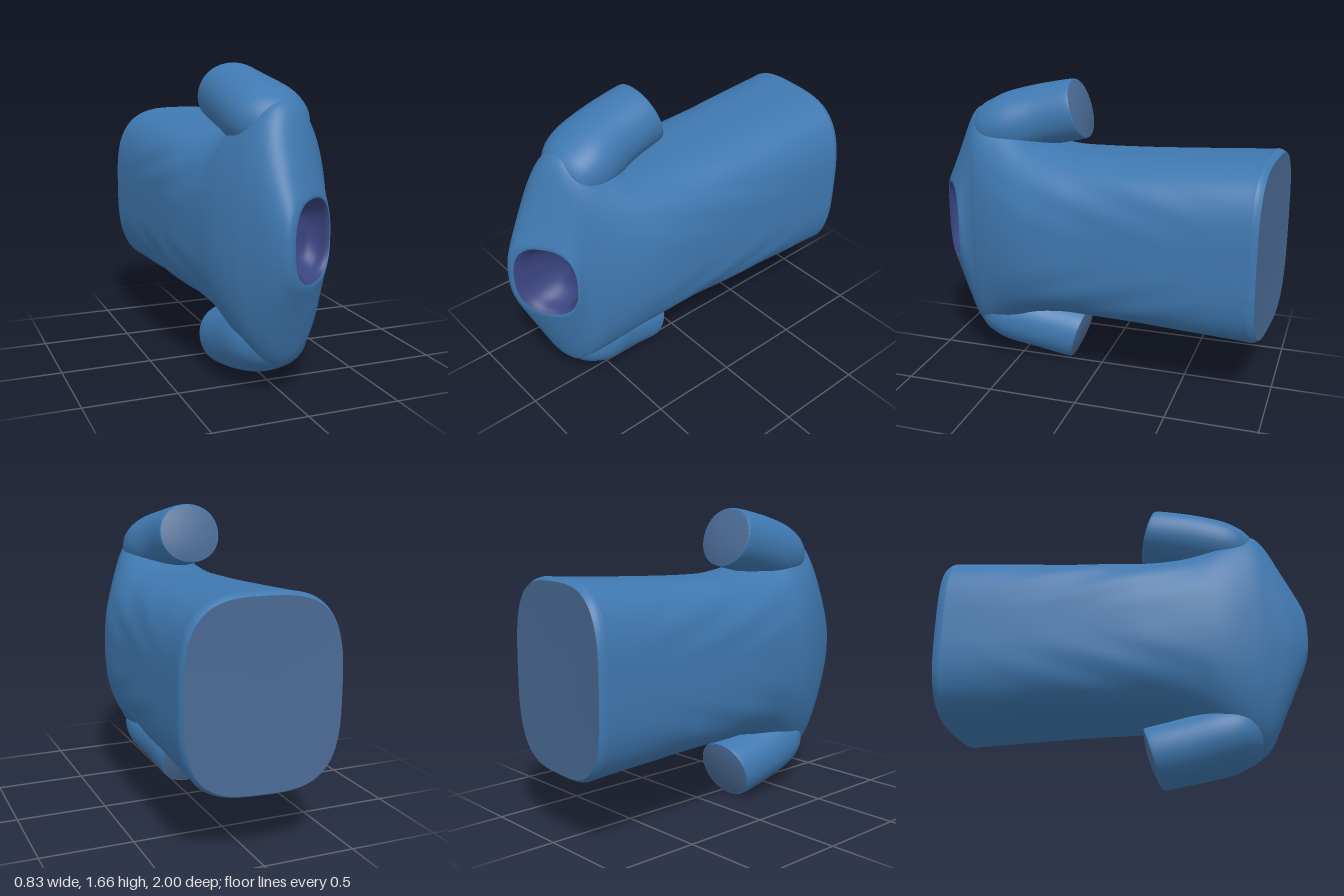
import * as THREE from 'three';

const MID = 0.835; // height of the shirt's long axis
const SEG = 96;
const cloth = new THREE.MeshStandardMaterial({ color: 0x3f78b0 });
const lining = new THREE.MeshStandardMaterial({ color: 0x3a4580 });
const capCloth = new THREE.MeshStandardMaterial({ color: 0x4a6a94 });

// Blend between neighbouring sections with a Catmull-Rom spline
function sample(rings, t) {
  const i = Math.min(Math.floor(t), rings.length - 2), f = t - i;
  const at = k => rings[Math.max(0, Math.min(rings.length - 1, k))];
  return rings[i].map((b, k) => {
    const a = at(i - 1)[k], c = at(i + 1)[k], d = at(i + 2)[k];
    return b + 0.5 * f * (c - a + f * (2 * a - 5 * b + 4 * c - d + f * (3 * (b - c) + d - a)));
  });
}

// Skin rounded sections: [cx, cy, z, halfX, halfY, squareness, z-slope in x, z-slope in y]
function loft(name, rings, steps, material, warp) {
  const pos = [], index = [], rows = (rings.length - 1) * steps;
  const pow = (v, n) => Math.sign(v) * Math.abs(v) ** (2 / n);
  for (let i = 0; i <= rows; i++) {
    const [cx, cy, z, hx, hy, n, kx, ky] = sample(rings, i / steps);
    for (let j = 0; j < SEG; j++) {
      const a = (j / SEG) * Math.PI * 2;
      let dx = hx * pow(Math.cos(a), n);
      const dy = hy * pow(Math.sin(a), n);
      const dz = kx * dx + ky * dy;
      if (warp) dx *= warp(dy, z);
      pos.push(cx + dx, cy + dy, z + dz);
      if (i < rows) {
        const p = i * SEG + j, q = i * SEG + (j + 1) % SEG;
        index.push(p, q, p + SEG, q, q + SEG, p + SEG);
      }
    }
  }
  const g = new THREE.BufferGeometry();
  g.setAttribute('position', new THREE.Float32BufferAttribute(pos, 3));
  g.setIndex(index);
  g.computeVertexNormals();
  const mesh = new THREE.Mesh(g, material);
  mesh.name = name;
  return mesh;
}

// Close the back of a section with a slightly domed (or dished) cap
function cap(name, ring, depth) {
  const scaled = s => ring.map((v, k) => (k === 2 ? v + depth * (1 - s * s) : k === 3 || k === 4 ? v * s : v));
  return loft(name, [0.001, 0.4, 0.75, 1].map(scaled), 4, capCloth);
}

// Shallow diagonal folds running along the sides
function folds(dy, z) {
  const fade = Math.max(0, 1 - ((z + 0.1) / 0.65) ** 2) * Math.min(1, Math.abs(dy) * 4);
  return 1 + 0.011 * fade * Math.sin(32 * Math.abs(dy) - 11 * z);
}

export function createModel() {
  const group = new THREE.Group();
  group.name = 'shirt';

  // Torso from hem to collar
  const hem = [-0.005, MID + 0.01, -0.96, 0.4, 0.485, 3.2, 0.085, 0];
  const rim = [0.062, MID + 0.008, 0.89, 0.14, 0.208, 2.5, -0.72, 0];
  const torso = [
    hem,
    [-0.005, MID + 0.01, -0.925, 0.413, 0.502, 3.2, 0.08, 0],
    [-0.005, MID + 0.01, -0.86, 0.413, 0.497, 3.2, 0.06, 0],
    [-0.005, MID + 0.005, -0.4, 0.403, 0.475, 3.1, 0, 0],
    [-0.01, MID, 0, 0.392, 0.466, 2.9, 0, 0],
    [-0.005, MID, 0.2, 0.385, 0.475, 2.7, 0, 0],
    [-0.005, MID, 0.4, 0.362, 0.525, 2.4, 0, 0],
    [-0.02, MID, 0.56, 0.322, 0.615, 2.2, 0, 0],
    [-0.02, MID, 0.69, 0.27, 0.67, 2.15, -0.1, 0],
    [-0.008, MID, 0.765, 0.232, 0.625, 2.1, -0.25, 0],
    [0.01, MID, 0.835, 0.2, 0.455, 2.15, -0.42, 0],
    [0.038, MID + 0.004, 0.885, 0.172, 0.285, 2.35, -0.62, 0],
    [0.052, MID + 0.006, 0.896, 0.154, 0.23, 2.5, -0.68, 0],
    rim,
  ];
  group.add(loft('torso', torso, 10, cloth, folds), cap('hemCap', hem, 0.008));

  // Hollow neck opening
  group.add(loft('neckOpening', [
    rim,
    [0.06, MID + 0.008, 0.865, 0.126, 0.19, 2.5, -0.7, 0],
    [0.05, MID + 0.005, 0.8, 0.11, 0.165, 2.4, -0.6, 0],
    [0.04, MID + 0.005, 0.74, 0.075, 0.11, 2.2, -0.45, 0],
    [0.03, MID + 0.005, 0.715, 0.001, 0.001, 2, 0, 0],
  ], 5, lining));

  // Mirrored sleeves swept back from the shoulders and melting into them
  for (const [side, s] of [['upper', 1], ['lower', -1]]) {
    const sleeve = [
      [-0.078, MID + s * 0.672, 0.145, 0.172, 0.152, 2.1, 0, s * 0.3],
      [-0.078, MID + s * 0.669, 0.17, 0.18, 0.162, 2.1, 0, s * 0.3],
      [-0.07, MID + s * 0.63, 0.35, 0.19, 0.166, 2.1, 0, s * 0.3],
      [-0.047, MID + s * 0.582, 0.52, 0.21, 0.17, 2.1, 0, s * 0.27],
      [-0.037, MID + s * 0.555, 0.63, 0.196, 0.155, 2.1, 0, s * 0.15],
      [-0.03, MID + s * 0.55, 0.705, 0.15, 0.13, 2, 0, 0],
      [-0.03, MID + s * 0.55, 0.745, 0.08, 0.08, 2, 0, 0],
      [-0.03, MID + s * 0.55, 0.755, 0.001, 0.001, 2, 0, 0],
    ];
    group.add(loft(side + 'Sleeve', sleeve, 8, cloth), cap(side + 'SleeveCap', sleeve[0], -0.022));
  }
  return group;
}
